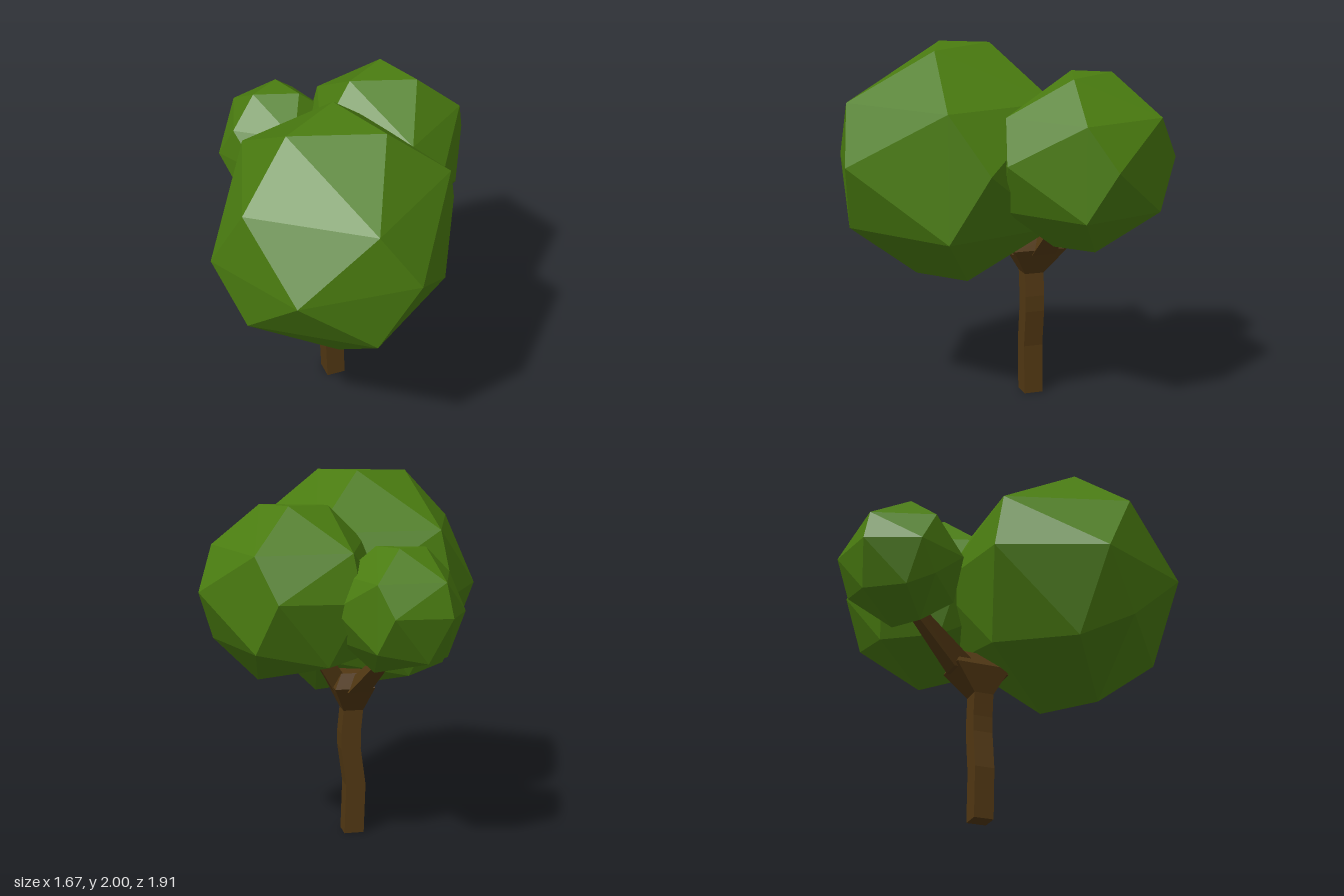
import * as THREE from 'three';
import { ConvexGeometry } from 'three/addons/geometries/ConvexGeometry.js';

const leaf = new THREE.MeshStandardMaterial({ color: 0x4a7c10, flatShading: true });
const bark = new THREE.MeshStandardMaterial({ color: 0x523813, flatShading: true });

// Faceted crown: points on a sphere given as [azimuth from +z in degrees, height]
const R = 0.682;
const crownPoints = [
  [54, 0.63], [-91, 0.63], [163, 0.65],                                      // top
  [0, 0.345], [72, 0.345], [144, 0.345], [-144, 0.345], [-72, 0.345],        // upper ring
  [18, 0.03], [91, 0.03], [162, 0.03], [-144, 0], [-91, -0.03], [-37, -0.01], // equator
  [0, -0.345], [72, -0.345], [144, -0.345], [-72, -0.345],                   // lower ring
  [-102, -0.48], [-160, -0.46],                                              // lower back corners
  [-18, -0.65], [91, -0.63],                                                 // bottom
].map(([deg, y]) => {
  const a = THREE.MathUtils.degToRad(deg), r = Math.sqrt(R * R - y * y);
  return new THREE.Vector3(r * Math.sin(a), y, r * Math.cos(a));
});

// Square-section limb through rings of [x, y, z, halfX, halfZ], capped at both ends
function limb(name, rings) {
  const pos = [], index = [];
  for (const [x, y, z, hx, hz] of rings) {
    pos.push(x - hx, y, z + hz, x + hx, y, z + hz, x + hx, y, z - hz, x - hx, y, z - hz);
  }
  for (let i = 0; i < rings.length - 1; i++) {
    for (let j = 0; j < 4; j++) {
      const a = i * 4 + j, b = i * 4 + (j + 1) % 4;
      index.push(a, b, b + 4, a, b + 4, a + 4);
    }
  }
  const t = (rings.length - 1) * 4;
  index.push(0, 2, 1, 0, 3, 2, t, t + 1, t + 2, t, t + 2, t + 3);
  const indexed = new THREE.BufferGeometry();
  indexed.setAttribute('position', new THREE.Float32BufferAttribute(pos, 3));
  indexed.setIndex(index);
  const geo = indexed.toNonIndexed();
  geo.computeVertexNormals();
  const mesh = new THREE.Mesh(geo, bark);
  mesh.name = name;
  return mesh;
}

export function createModel() {
  const tree = new THREE.Group();
  tree.name = 'tree';

  // Gently bent trunk flaring into the fork
  const w = 0.055;
  tree.add(limb('trunk', [
    [-0.02, 0, -0.105, w, w], [-0.03, 0.28, -0.105, w, w], [-0.002, 0.49, -0.105, w, w],
    [-0.002, 0.58, -0.105, w, w], [-0.015, 0.71, -0.105, w, w],
    [0, 0.86, -0.12, 0.11, 0.155], [0, 0.94, -0.14, 0.07, 0.1],
  ]));

  // Branches reaching into each crown
  tree.add(limb('frontBranch', [[-0.02, 0.83, -0.04, 0.07, 0.07], [-0.1, 1.15, 0.2, 0.04, 0.04]]));
  tree.add(limb('leftBranch', [[0.04, 0.83, -0.14, 0.06, 0.07], [0.25, 1.15, -0.24, 0.04, 0.04]]));
  tree.add(limb('backBranch', [[-0.02, 0.84, -0.2, 0.06, 0.08], [-0.14, 1.15, -0.58, 0.03, 0.035]]));

  // Three crowns share one shape at different sizes
  const crownGeo = new ConvexGeometry(crownPoints);
  for (const [name, x, y, z, s] of [
    ['largeCrown', -0.155, 1.35, 0.31, 1],
    ['mediumCrown', 0.34, 1.4, -0.27, 0.73],
    ['smallCrown', -0.155, 1.353, -0.622, 0.512],
  ]) {
    const crown = new THREE.Mesh(crownGeo, leaf);
    crown.name = name;
    crown.position.set(x, y, z);
    crown.scale.setScalar(s);
    tree.add(crown);
  }
  return tree;
}
